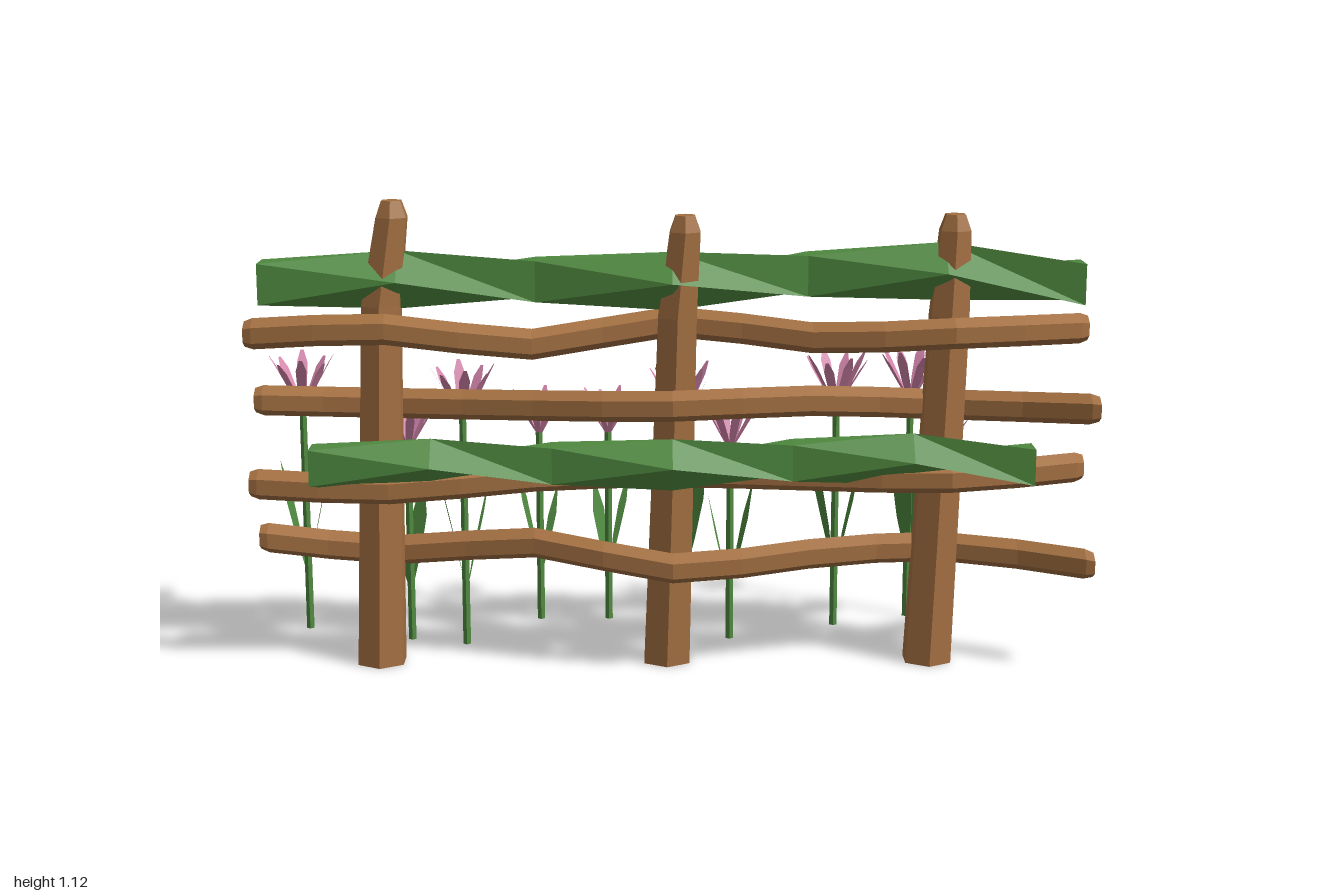
import * as THREE from 'three';

const bark = new THREE.MeshStandardMaterial({ color: 0xa47042 });
bark.name = 'bark brown';
const green = new THREE.MeshStandardMaterial({ color: 0x508b40, side: THREE.DoubleSide });
green.name = 'leaf green';
const pink = new THREE.MeshStandardMaterial({ color: 0xd485ab, side: THREE.DoubleSide });
pink.name = 'petal pink';

// Flat-shaded geometry from a list of triangles
function faceted(points) {
  const g = new THREE.BufferGeometry().setFromPoints(points);
  g.computeVertexNormals();
  return g;
}

// Faceted bar through stations { p: [x, y, z], r, turn }, with sections square to the x or y axis
function bar(stations, sides, axis, depth = 1) {
  const rings = stations.map(({ p, r, turn = 0 }) =>
    Array.from({ length: sides }, (_, j) => {
      const a = turn + (j / sides) * Math.PI * 2;
      const u = r * Math.cos(a), v = r * Math.sin(a);
      const offset = axis === 'x' ? [0, u, v * depth] : [v, 0, u * depth];
      return new THREE.Vector3(...p).add(new THREE.Vector3(...offset));
    }));
  const tris = [];
  for (let i = 0; i < rings.length - 1; i++) {
    const a = rings[i], b = rings[i + 1];
    for (let j = 0; j < sides; j++) {
      const k = (j + 1) % sides;
      tris.push(a[j], a[k], b[k], a[j], b[k], b[j]);
    }
  }
  const first = rings[0], last = rings[rings.length - 1];
  for (let j = 1; j < sides - 1; j++) {
    tris.push(first[0], first[j + 1], first[j], last[0], last[j], last[j + 1]);
  }
  return faceted(tris);
}

// Thin blade from rows [distance out, height, half width], bending away from the stem
function blade(rows) {
  const tris = [];
  for (let i = 0; i < rows.length - 1; i++) {
    const [o0, y0, w0] = rows[i], [o1, y1, w1] = rows[i + 1];
    const a = new THREE.Vector3(-w0, y0, o0), b = new THREE.Vector3(w0, y0, o0);
    const c = new THREE.Vector3(w1, y1, o1), d = new THREE.Vector3(-w1, y1, o1);
    tris.push(a, b, c);
    if (w1 > 0) tris.push(a, c, d);
  }
  return faceted(tris);
}

function add(parent, name, geometry, material) {
  const mesh = new THREE.Mesh(geometry, material);
  mesh.name = name;
  parent.add(mesh);
  return mesh;
}

// Flower with its stem on the ground
function flower(x, z, tall, leafTurn) {
  const g = new THREE.Group();
  g.name = 'flower';
  g.position.set(x, 0, z);
  const base = tall ? 0.575 : 0.49;
  const s = tall ? 1 : 0.85;

  const stem = new THREE.CylinderGeometry(0.009, 0.01, base + 0.01, 5).toNonIndexed();
  stem.computeVertexNormals();
  add(g, 'stem', stem, green).position.y = (base + 0.01) / 2;

  const petal = blade([
    [0.006, 0, 0.006], [0.034, 0.05, 0.011], [0.062, 0.1, 0.013], [0.079, 0.128, 0.004],
  ]);
  for (let i = 0; i < 8; i++) {
    const m = add(g, 'petal', petal, pink);
    m.position.y = base;
    m.scale.set(s, s * (i % 2 ? 0.93 : 1.03), s);
    m.rotation.y = (i / 8) * Math.PI * 2 + leafTurn;
  }

  // One long leaf and one shorter leaf on the other side
  const leaf = blade([
    [0.006, 0.17, 0.005], [0.026, 0.27, 0.02], [0.048, 0.37, 0.026], [0.072, 0.485, 0],
  ]);
  for (let i = 0; i < 2; i++) {
    const m = add(g, 'leaf', leaf, green);
    m.scale.setScalar(s * (i ? 0.9 : 1));
    m.rotation.y = leafTurn + i * Math.PI * 0.9;
  }
  return g;
}

export function createModel() {
  const model = new THREE.Group();
  model.name = 'woven fence with flowers';

  // Posts: foot x, foot z, shoulder x, top x, top z, height
  const posts = [
    [-0.705, 0.146, -0.686, -0.657, 0.122, 1.12],
    [-0.013, 0.14, 0.012, 0.03, 0.17, 1.09],
    [0.62, 0.143, 0.657, 0.667, 0.11, 1.085],
  ];
  for (const [x0, z0, x1, x2, z2, h] of posts) {
    const at = (x, t, r) => ({ p: [x, h * t, z0 + (z2 - z0) * t], r });
    add(model, 'post', bar([at(x0, 0, 0.063), at(x1, 0.78, 0.052), at(x2, 0.965, 0.041), at(x2, 1, 0.026)], 6, 'y'), bark);
  }

  // Rails weave alternately in front of and behind the posts
  const railX = [-1, -0.67, -0.33, 0, 0.33, 0.66, 1];
  const weave = [
    [0.19, 0.205, 0.165, 0.085, 0.15, 0.2, 0.055],
    [0.08, 0.065, 0.15, 0.235, 0.15, 0.075, 0.232],
  ];
  const railY = [
    [0.815, 0.828, 0.785, 0.825, 0.797, 0.815, 0.803],
    [0.635, 0.624, 0.635, 0.65, 0.645, 0.62, 0.64],
    [0.455, 0.445, 0.465, 0.455, 0.462, 0.468, 0.46],
    [0.295, 0.258, 0.298, 0.257, 0.268, 0.265, 0.262],
  ];
  railY.forEach((ys, n) => {
    const curve = new THREE.CatmullRomCurve3(
      railX.map((x, i) => new THREE.Vector3(x, ys[i], weave[n % 2][i])));
    // Short bevels close both ends
    const stations = [0, 0.01, ...Array.from({ length: 11 }, (_, i) => (i + 1) / 12), 0.99, 1]
      .map((t) => ({ p: curve.getPoint(t).toArray(), r: t % 1 ? 0.037 : 0.03 }));
    add(model, 'rail', bar(stations, 6, 'x'), bark);
  });

  // Green vines: square bars, given an eighth turn at every other station
  const vines = [
    [0.97, [0.928, 0.933, 0.928, 0.935, 0.935, 0.95, 0.925], [0.13, 0.122, 0.09, 0.168, 0.055, 0.113, 0.13]],
    [0.855, [0.502, 0.505, 0.5, 0.507, 0.505, 0.513, 0.5], [0.2, 0.205, 0.175, 0.225, 0.17, 0.195, 0.2]],
  ];
  for (const [half, ys, zs] of vines) {
    const stations = ys.map((y, i) => ({
      p: [half * (i / 3 - 1), y, zs[i]],
      r: half > 0.9 ? 0.069 : 0.062,
      turn: i % 2 ? 0 : Math.PI / 4,
    }));
    add(model, 'vine', bar(stations, 4, 'x', 0.82), green);
  }

  // Flowers behind the fence: x, z, tall, leaf direction
  const flowers = [
    [-0.92, -0.125, true, 1.7], [-0.65, -0.03, false, 2.6], [-0.51, 0.01, true, 4.9],
    [-0.335, -0.2, false, 4.5], [-0.16, -0.2, false, 1.1], [0.025, 0.005, true, 2.2],
    [0.145, -0.03, false, 1.8], [0.415, -0.14, true, 5.1], [0.61, -0.215, true, 5.8],
    [0.66, 0.045, false, 3.5],
  ];
  for (const f of flowers) model.add(flower(...f));

  return model;
}
